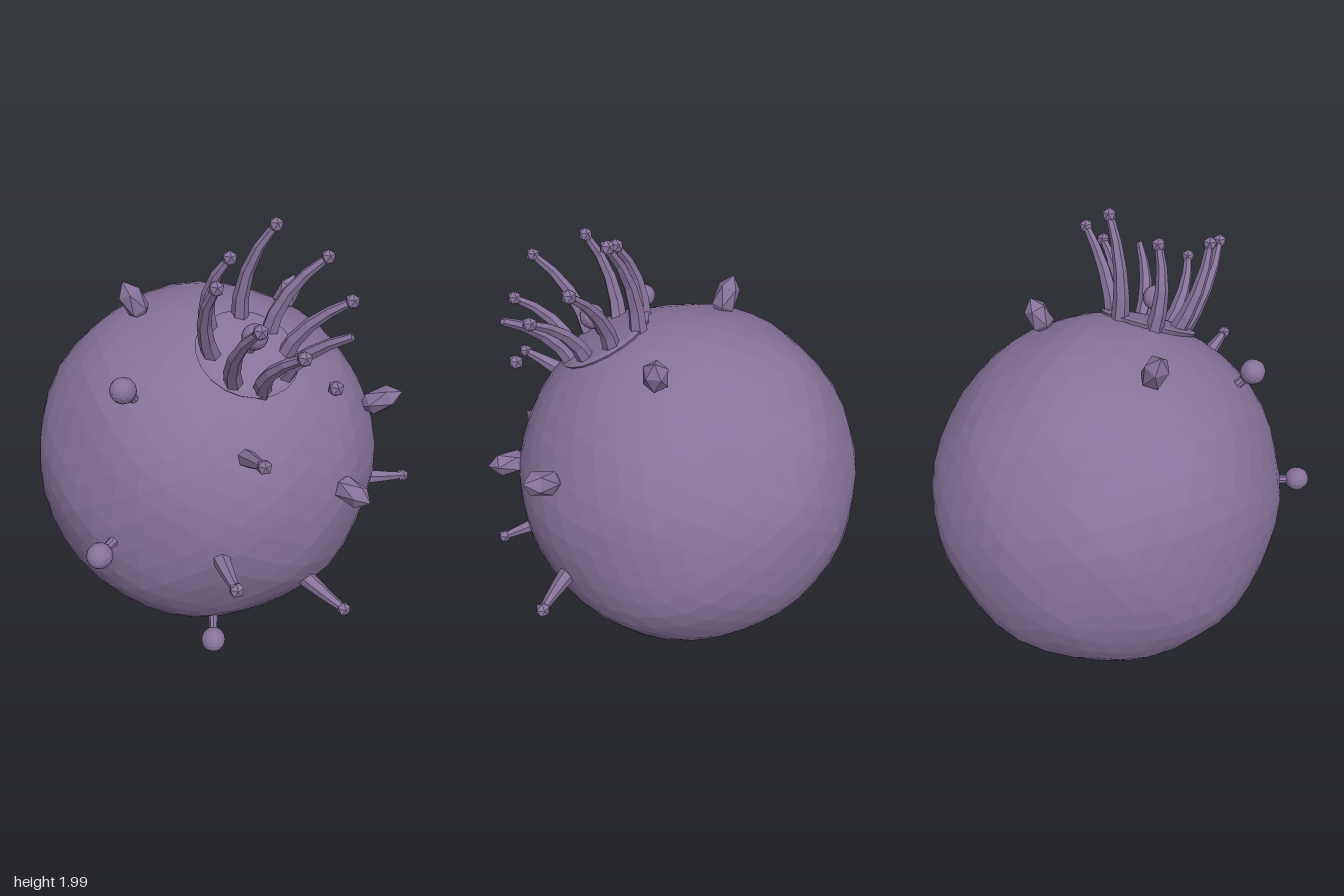
import * as THREE from 'three';

const skin = new THREE.MeshStandardMaterial({ color: 0x86729a, flatShading: true, side: THREE.DoubleSide });
const V = (a) => new THREE.Vector3(...a);
const UP = new THREE.Vector3(0, 1, 0);
const CENTER = V([-0.1, 0.8, -0.085]);
const AXIS = V([0.265, 0.876, 0.4]).normalize(); // direction of the crown

export function createModel() {
  const root = new THREE.Group();
  const add = (name, geometry, parent = root) => {
    const mesh = new THREE.Mesh(geometry, skin);
    mesh.name = name;
    parent.add(mesh);
    return mesh;
  };

  // Vertex-up icosahedron, used for knobs and crystals
  const gem = (r) => new THREE.IcosahedronGeometry(r, 0).rotateZ(-Math.atan(2 / (1 + Math.sqrt(5))));

  // Tapered hexagonal arm along a curve from base to tip
  const arm = (base, control, tip, r0, r1) => {
    const curve = new THREE.QuadraticBezierCurve3(base, control, tip);
    const rings = 4, sides = 6;
    const geo = new THREE.TubeGeometry(curve, rings, 1, sides);
    const p = geo.attributes.position;
    for (let i = 0; i < p.count; i++) {
      const t = Math.floor(i / (sides + 1)) / rings;
      const c = curve.getPointAt(t);
      const v = new THREE.Vector3().fromBufferAttribute(p, i).sub(c);
      v.multiplyScalar(r0 + (r1 - r0) * t).add(c);
      p.setXYZ(i, v.x, v.y, v.z);
    }
    return geo;
  };

  // Body: faceted, slightly lumpy ball
  const bodyGeo = new THREE.IcosahedronGeometry(1, 7);
  const pos = bodyGeo.attributes.position;
  for (let i = 0; i < pos.count; i++) {
    const v = new THREE.Vector3().fromBufferAttribute(pos, i);
    const lump = Math.sin(5 * v.x + 2 * v.y + 1) * Math.sin(4 * v.z - 3 * v.y)
      + 0.6 * Math.sin(9 * v.y + 5 * v.z) * Math.sin(8 * v.x - 3 * v.z);
    v.multiplyScalar(0.788 + 0.009 * lump);
    pos.setXYZ(i, v.x, v.y, v.z);
  }
  bodyGeo.computeVertexNormals();
  add('body', bodyGeo).position.copy(CENTER);

  // Crown: collar with a shallow dome inside
  const crown = new THREE.Group();
  crown.name = 'crown';
  root.add(crown);
  const profile = [[0.15, 0.68], [0.19, 0.73], [0.22, 0.775], [0.2, 0.785], [0.12, 0.795], [0, 0.805]];
  const collar = add('collar', new THREE.LatheGeometry(profile.map((q) => new THREE.Vector2(...q)), 20), crown);
  collar.position.copy(CENTER);
  collar.quaternion.setFromUnitVectors(UP, AXIS);

  // Tentacles: base x and z on the collar, tip, whether a knob sits on the tip
  const hub = CENTER.clone().addScaledVector(AXIS, 0.755);
  const tentacles = [
    [0.06, 0.06, [0.2, 1.97, 0.08], true],
    [0.18, 0.09, [0.41, 1.84, 0.07], true],
    [0.25, 0.17, [0.51, 1.71, 0.2], true],
    [0.25, 0.27, [0.51, 1.65, 0.39], false],
    [0.17, 0.36, [0.33, 1.63, 0.55], true],
    [0.06, 0.37, [0.17, 1.76, 0.61], true],
    [-0.03, 0.28, [0, 1.85, 0.45], true],
    [-0.06, 0.16, [0.03, 1.88, 0.22], true],
  ];
  for (const [x, z, end, knob] of tentacles) {
    const y = hub.y - (AXIS.x * (x - hub.x) + AXIS.z * (z - hub.z)) / AXIS.y;
    const base = V([x, y, z]), tip = V(end);
    const control = base.clone().lerp(tip, 0.5).add(V([-0.08, 0.03, 0.01]));
    add('tentacle', arm(base, control, tip, 0.04, 0.017), crown);
    if (knob) add('tentacleKnob', gem(0.032), crown).position.copy(tip);
  }
  add('looseKnob', gem(0.034), crown).position.set(0.46, 1.43, 0.4);

  // Short knobbed feelers on the body: base, tip
  const feelers = [
    [[0.64, 0.67, -0.1], [0.85, 0.64, -0.17]],
    [[0.39, 0.47, 0.42], [0.56, 0.4, 0.53]],
    [[0.03, 0.77, 0.66], [0.11, 0.76, 0.84]],
    [[0.12, 1.18, 0.54], [0.2, 1.25, 0.7]],
  ];
  for (const [a, b] of feelers) {
    const base = V(a), tip = V(b);
    const out = base.clone().sub(CENTER).normalize();
    const control = base.clone().lerp(tip, 0.5).addScaledVector(out, 0.02);
    add('feeler', arm(base, control, tip, 0.04, 0.017));
    add('feelerKnob', gem(0.032)).position.copy(tip);
  }

  // Round bulbs on thin stalks: foot, bulb centre
  const bulbs = [
    [[-0.32, 1.32, 0.39], [-0.365, 1.42, 0.47]],
    [[-0.4, 0.8, 0.6], [-0.45, 0.8, 0.73]],
    [[-0.02, 0.31, 0.48], [-0.01, 0.215, 0.58]],
    [[0.1, 1.46, 0.22], [0.135, 1.575, 0.27]],
  ];
  for (const [a, b] of bulbs) {
    const foot = V(a), top = V(b);
    const dir = top.clone().sub(foot);
    const stalk = add('bulbStalk', new THREE.CylinderGeometry(0.017, 0.023, dir.length(), 8));
    stalk.position.copy(foot).lerp(top, 0.5);
    const bulb = add('bulb', new THREE.SphereGeometry(0.054, 14, 10));
    bulb.position.copy(top);
    dir.normalize();
    for (const m of [stalk, bulb]) m.quaternion.setFromUnitVectors(UP, dir);
  }

  // Crystals half sunk in the body: inner end, outer end
  const crystals = [
    [[-0.355, 1.49, -0.02], [-0.445, 1.67, -0.02]],
    [[0.22, 1.47, -0.21], [0.28, 1.63, -0.26]],
    [[0.59, 1.095, -0.03], [0.78, 1.19, -0.025]],
    [[0.48, 0.95, 0.34], [0.635, 0.925, 0.46]],
  ];
  for (const [a, b] of crystals) {
    const inner = V(a), outer = V(b);
    const dir = outer.clone().sub(inner);
    const crystal = add('crystal', gem(1));
    crystal.scale.set(0.058, dir.length() / 2, 0.058);
    crystal.position.copy(inner).lerp(outer, 0.5);
    crystal.quaternion.setFromUnitVectors(UP, dir.normalize());
  }

  return root;
}
